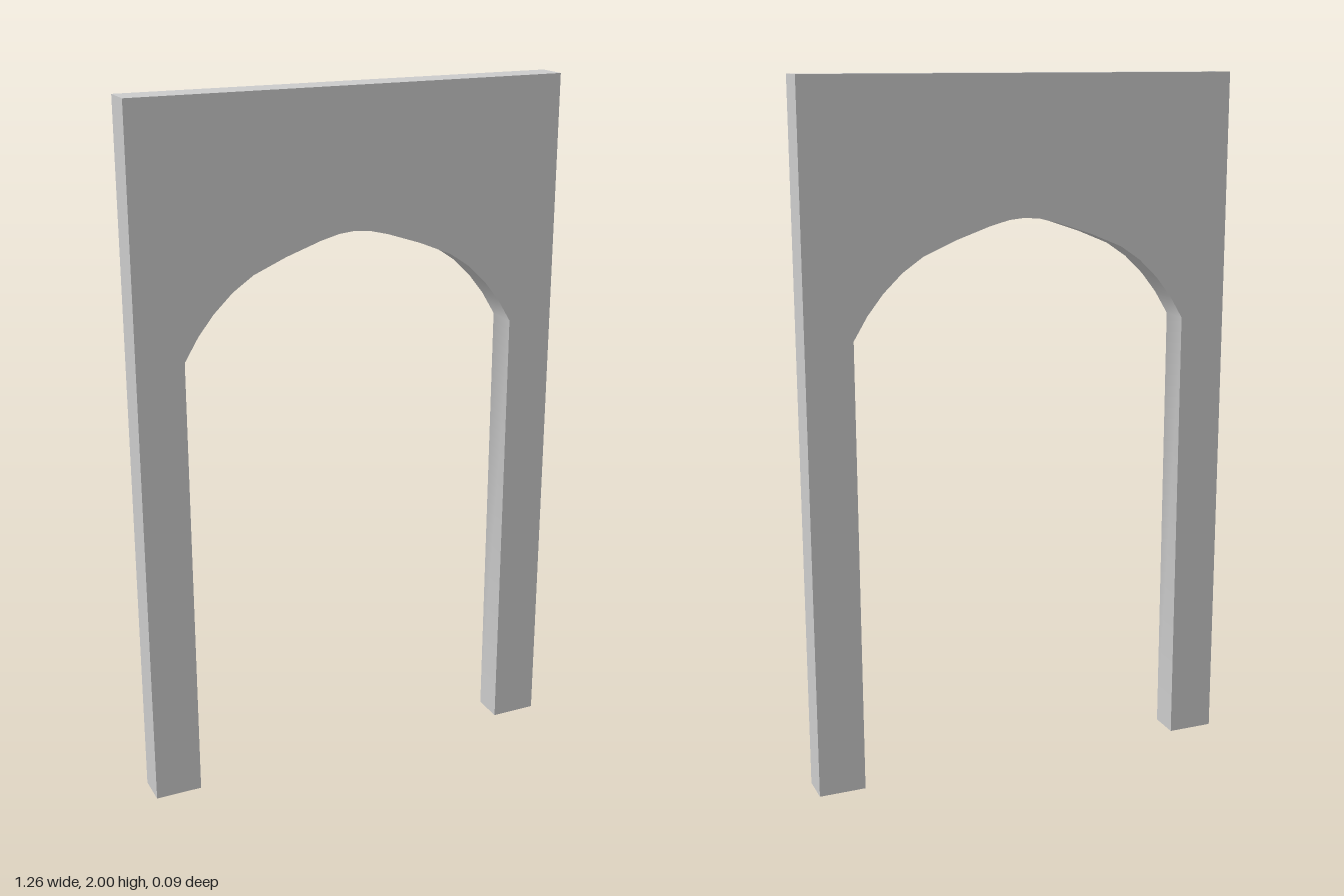
import * as THREE from 'three';
import { toCreasedNormals } from 'three/addons/utils/BufferGeometryUtils.js';

const HALF_WIDTH = 0.63, HEIGHT = 2, DEPTH = 0.092;

// Right half of the opening, from the springing point up to the crown
const ARCH = [
  [0.495, 1.304], [0.455, 1.37], [0.41, 1.427], [0.355, 1.48], [0.295, 1.521],
  [0.2, 1.561], [0.1, 1.595], [0.045, 1.609], [0, 1.613],
];

// Removes the triangles lying on the ground, leaving the legs open underneath
function openBottom(geometry) {
  const p = geometry.attributes.position;
  const kept = [];
  for (let i = 0; i < p.count; i += 3) {
    if (Math.max(p.getY(i), p.getY(i + 1), p.getY(i + 2)) < 1e-4) continue;
    for (let k = i; k < i + 3; k++) kept.push(p.getX(k), p.getY(k), p.getZ(k));
  }
  const open = new THREE.BufferGeometry();
  open.setAttribute('position', new THREE.Float32BufferAttribute(kept, 3));
  return open;
}

export function createModel() {
  const group = new THREE.Group();
  group.name = 'archway';

  // Outline: outer rectangle, then the mirrored arch between the two legs
  const inner = ARCH[0][0];
  const left = ARCH.slice(0, -1).reverse().map(([x, y]) => [-x, y]);
  const outline = [
    [inner, 0], [HALF_WIDTH, 0], [HALF_WIDTH, HEIGHT], [-HALF_WIDTH, HEIGHT],
    [-HALF_WIDTH, 0], [-inner, 0], ...left.reverse(), ...ARCH.slice().reverse(),
  ];
  const shape = new THREE.Shape(outline.map(([x, y]) => new THREE.Vector2(x, y)));

  const slab = new THREE.ExtrudeGeometry(shape, { depth: DEPTH, bevelEnabled: false });
  slab.translate(0, 0, -DEPTH / 2);

  // Smooth soffit, sharp corners
  const wall = new THREE.Mesh(
    toCreasedNormals(openBottom(slab), 0.7),
    new THREE.MeshStandardMaterial({ color: 0xcccccc, side: THREE.DoubleSide }),
  );
  wall.name = 'archedWall';
  group.add(wall);
  return group;
}
